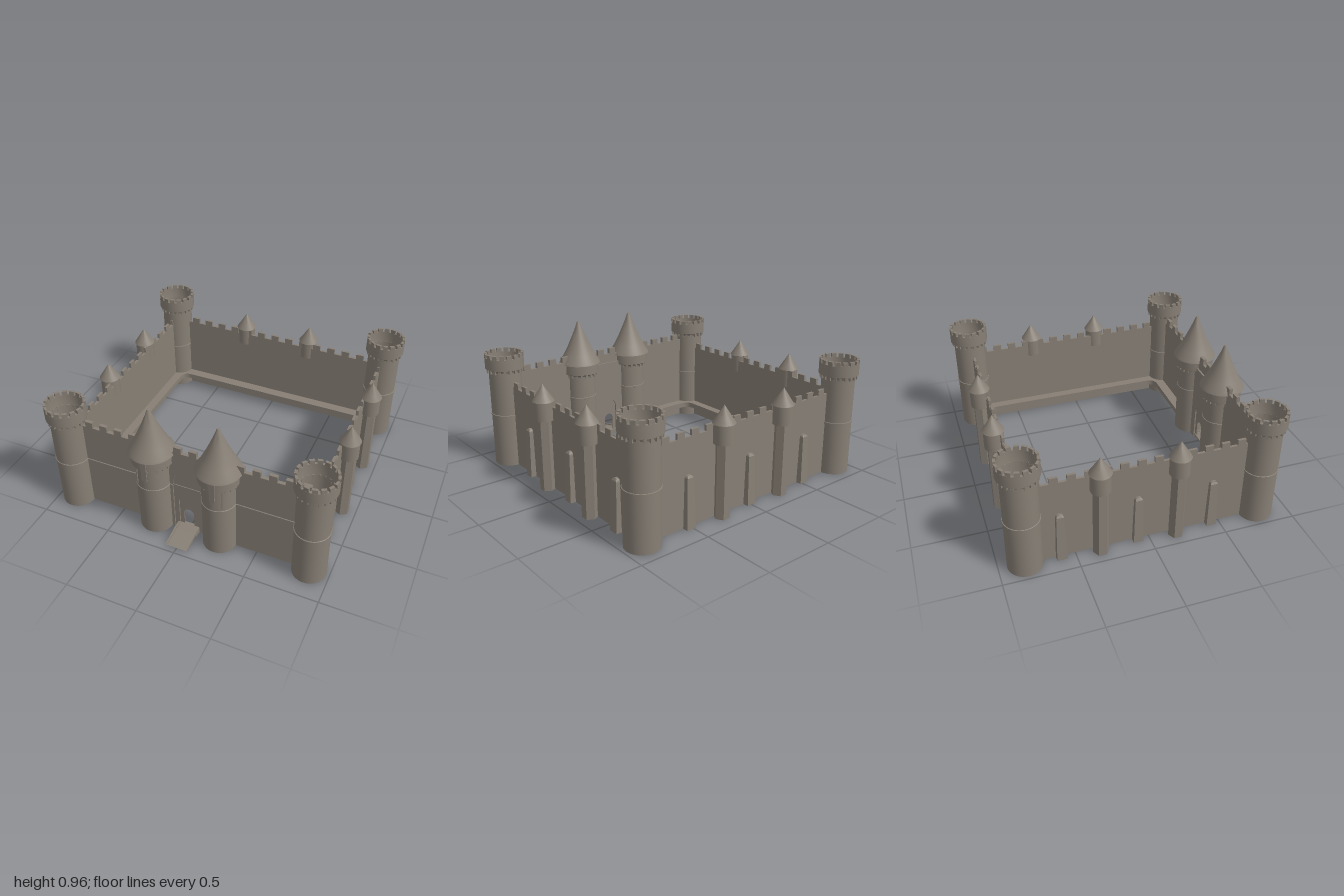
import * as THREE from 'three';
import { toCreasedNormals } from 'three/addons/utils/BufferGeometryUtils.js';

const stone = new THREE.MeshStandardMaterial({ color: 0x877f75, side: THREE.DoubleSide });
stone.name = 'stone';

function add(parent, name, geometry, x = 0, y = 0, z = 0, ry = 0) {
  const mesh = new THREE.Mesh(geometry, stone);
  mesh.name = name;
  mesh.position.set(x, y, z);
  mesh.rotation.y = ry;
  parent.add(mesh);
  return mesh;
}

function group(parent, name, x = 0, z = 0, ry = 0) {
  const g = new THREE.Group();
  g.name = name;
  g.position.set(x, 0, z);
  g.rotation.y = ry;
  parent.add(g);
  return g;
}

const box = (w, h, d) => new THREE.BoxGeometry(w, h, d);
const lathe = (points, sides = 32) => toCreasedNormals(
  new THREE.LatheGeometry(points.map(p => new THREE.Vector2(...p)), sides), 0.6);
const extrude = (shape, depth) =>
  new THREE.ExtrudeGeometry(shape, { depth, bevelEnabled: false, curveSegments: 10 });

// Upright slab with an optional doorway and an optional crenellated top
function wallShape(x0, x1, height, merlons, merlonHeight, arch) {
  const s = new THREE.Shape();
  s.moveTo(x0, 0);
  if (arch) {
    const { w, spring, apex } = arch;
    s.lineTo(-w, 0);
    s.lineTo(-w, spring);
    if (apex) {
      s.quadraticCurveTo(-w * 0.85, spring + (apex - spring) * 0.75, 0, apex);
      s.quadraticCurveTo(w * 0.85, spring + (apex - spring) * 0.75, w, spring);
    } else s.absarc(0, spring, w, Math.PI, 0, true);
    s.lineTo(w, 0);
  }
  s.lineTo(x1, 0);
  s.lineTo(x1, height);
  const step = (x1 - x0) / Math.max(merlons, 1);
  for (let i = 0; i < merlons; i++) {
    const c = x1 - (i + 0.5) * step;
    s.lineTo(c + step / 4, height);
    s.lineTo(c + step / 4, height + merlonHeight);
    s.lineTo(c - step / 4, height + merlonHeight);
    s.lineTo(c - step / 4, height);
  }
  s.lineTo(x0, height);
  s.closePath();
  return s;
}

// Ring of small blocks
function blockRing(parent, name, count, radius, y, w, h, d) {
  for (let i = 0; i < count; i++) {
    const a = (i + 0.5) / count * Math.PI * 2;
    add(parent, name, box(w, h, d), Math.sin(a) * radius, y, Math.cos(a) * radius, a);
  }
}

// Open round tower with a crenellated crown
function cornerTower(parent, x, z) {
  const t = group(parent, 'cornerTower', x, z);
  add(t, 'towerShaft', lathe([[0.115, 0], [0.115, 0.725]]));
  add(t, 'towerBand', lathe([[0.115, 0.374], [0.12, 0.376], [0.12, 0.386], [0.115, 0.388]]));
  add(t, 'towerCrown', lathe([[0.115, 0.7], [0.121, 0.715], [0.137, 0.722], [0.137, 0.803],
    [0.119, 0.803], [0.119, 0.72], [0.115, 0.7]]));
  blockRing(t, 'towerCorbel', 20, 0.121, 0.708, 0.018, 0.03, 0.016);
  blockRing(t, 'towerMerlon', 16, 0.127, 0.815, 0.034, 0.03, 0.018);
}

// Round tower with a flared pointed roof
function gateTower(parent, side) {
  const t = group(parent, 'gateTower', side * 0.235, 0.775);
  add(t, 'gateShaft', lathe([[0.115, 0], [0.115, 0.57]]));
  add(t, 'gateBand', lathe([[0.115, 0.374], [0.119, 0.376], [0.119, 0.386], [0.115, 0.388]]));
  add(t, 'gateDrum', lathe([[0.113, 0.55], [0.12, 0.562], [0.14, 0.572], [0.14, 0.65]]));
  add(t, 'gateRoof', lathe([[0.138, 0.642], [0.155, 0.645], [0.148, 0.66], [0.118, 0.71], [0.085, 0.775],
    [0.052, 0.85], [0.025, 0.915], [0.009, 0.962], [0, 0.965]]));
  blockRing(t, 'gateCorbel', 20, 0.121, 0.557, 0.016, 0.026, 0.014);
  add(t, 'hangingSlat', box(0.036, 0.145, 0.008), 0.018, 0.573, 0.148);
  add(t, 'shaftStrip', box(0.008, 0.16, 0.008), side * 0.066, 0.49, 0.1);
}

// Hexagonal pilaster with a small roofed drum
function turret(parent, x) {
  const t = group(parent, 'turret', x, 0.035);
  const shaft = new THREE.CylinderGeometry(0.053, 0.053, 0.51, 6).toNonIndexed();
  shaft.computeVertexNormals();
  add(t, 'turretShaft', shaft, 0, 0.255, 0, Math.PI / 6);
  add(t, 'turretDrum', lathe([[0, 0.505], [0.067, 0.505], [0.067, 0.64]], 24));
  add(t, 'turretRoof', lathe([[0.066, 0.632], [0.074, 0.635], [0.05, 0.672], [0.024, 0.713], [0, 0.75]], 24));
}

// Leaning buttress: front outline tapers and the depth shrinks with height
function buttress(parent, x) {
  const s = new THREE.Shape();
  s.moveTo(-0.034, 0);
  s.lineTo(0.034, 0);
  s.lineTo(0.026, 0.33);
  s.quadraticCurveTo(0.024, 0.355, 0, 0.355);
  s.quadraticCurveTo(-0.024, 0.355, -0.026, 0.33);
  s.closePath();
  const g = extrude(s, 0.04);
  const p = g.attributes.position;
  for (let i = 0; i < p.count; i++) {
    const y = p.getY(i);
    if (p.getZ(i) > 0.01) p.setZ(i, y > 0.34 ? 0.018 : 0.04 - 0.012 * y / 0.33);
  }
  g.computeVertexNormals();
  add(parent, 'buttress', g, x, 0, 0);
}

// Curtain wall whose local +z faces outward
function curtainWall(parent, name, x, z, ry, half, merlons, turrets, buttresses) {
  const w = group(parent, name, x, z, ry);
  add(w, 'wallSlab', extrude(wallShape(-half, half, 0.595, merlons, 0.04), 0.018), 0, 0, -0.018);
  turrets.forEach(t => turret(w, t));
  buttresses.forEach(b => buttress(w, b));
}

export function createModel() {
  const castle = new THREE.Group();
  castle.name = 'castle';

  for (const x of [-0.863, 0.863]) for (const z of [-0.828, 0.778]) cornerTower(castle, x, z);

  // Side and back walls
  const zs = [-0.338, 0.18], bs = [-0.595, -0.08, 0.437];
  curtainWall(castle, 'leftWall', 0.867, 0, Math.PI / 2, 0.79, 14,
    zs.map(v => -v), bs.map(v => -v));
  curtainWall(castle, 'rightWall', -0.867, 0, -Math.PI / 2, 0.79, 14, zs, bs);
  curtainWall(castle, 'backWall', 0, -0.83, Math.PI, 0.86, 15, [-0.262, 0.262], [-0.517, 0, 0.517]);

  // Front wall with nested arches
  const front = group(castle, 'frontWall');
  add(front, 'frontSlab', extrude(wallShape(-0.86, 0.86, 0.668, 16, 0.042,
    { w: 0.1, spring: 0.38, apex: 0.56 }), 0.025), 0, 0, 0.75);
  add(front, 'archSlab', extrude(wallShape(-0.13, 0.13, 0.6, 0, 0,
    { w: 0.066, spring: 0.23 }), 0.028), 0, 0, 0.737);
  add(front, 'doorSlab', extrude(wallShape(-0.07, 0.07, 0.3, 0, 0,
    { w: 0.036, spring: 0.135 }), 0.008), 0, 0, 0.747);
  for (const s of [-1, 1]) {
    add(front, 'stringCourse', box(0.7, 0.012, 0.008), s * 0.45, 0.381, 0.778);
    gateTower(castle, s);
  }
  add(front, 'archSpringLine', box(0.24, 0.008, 0.006), 0, 0.381, 0.767);

  // Inner ledge with rounded corners, broken at the gate
  const half = new THREE.Shape();
  const X = 0.785, B = -0.74, F = 0.68, R = 0.07;
  half.moveTo(0, -0.815);
  half.lineTo(0.852, -0.815);
  half.lineTo(0.852, 0.752);
  half.lineTo(0.24, 0.752);
  half.lineTo(0.24, F);
  half.lineTo(X - R, F);
  half.quadraticCurveTo(X, F, X, F - R);
  half.lineTo(X, B + R);
  half.quadraticCurveTo(X, B, X - R, B);
  half.lineTo(0, B);
  half.closePath();
  const ledge = extrude(half, 0.04).rotateX(Math.PI / 2);
  add(castle, 'ledgeLeft', ledge, 0, 0.12, 0);
  // Mirrored by rotating about z, which keeps the face order
  add(castle, 'ledgeRight', ledge.clone().rotateZ(Math.PI), 0, 0.08, 0);

  // Sloping entrance ramp with raised rims
  const ramp = group(castle, 'entranceRamp');
  const slope = new THREE.Shape();
  [[0.74, 0.02], [0.82, 0.02], [0.955, 0], [0.96, 0.006], [0.82, 0.034], [0.74, 0.034]]
    .forEach(([z, y], i) => (i ? slope.lineTo(z, y) : slope.moveTo(z, y)));
  const strip = w => extrude(slope, w).rotateY(-Math.PI / 2).translate(w / 2, 0, 0);
  add(ramp, 'rampPlate', strip(0.156));
  for (const s of [-1, 1]) {
    add(ramp, 'rampRim', strip(0.012), s * 0.072, 0.01, 0);
    add(ramp, 'rampFoot', box(0.014, 0.04, 0.06), s * 0.07, 0.02, 0.79);
  }
  return castle;
}
